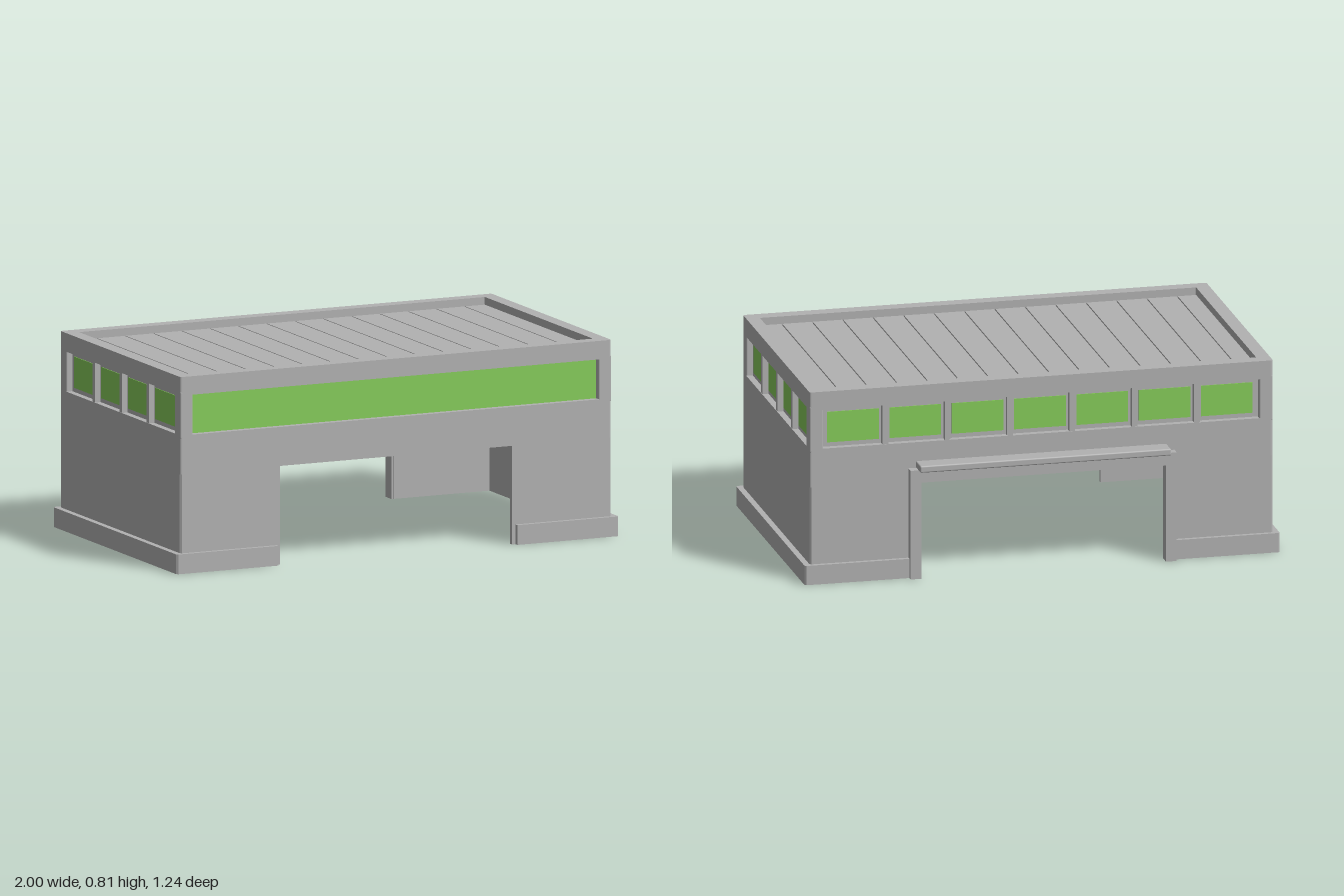
import * as THREE from 'three';
import { RoundedBoxGeometry } from 'three/addons/geometries/RoundedBoxGeometry.js';

const concrete = new THREE.MeshStandardMaterial({ color: 0xb2b2b2 });
concrete.name = 'concrete';
const glass = new THREE.MeshStandardMaterial({ color: 0x86cc5a });
glass.name = 'greenGlass';

const X = 0.975, ZF = 0.602, ZB = -0.543; // outer faces of the walls
const ZC = (ZF + ZB) / 2;
const T = 0.057;                          // thickness of the upper wall
const SILL = 0.572, HEAD = 0.738, TOP = 0.815;

function add(parent, name, geometry, material, x = 0, y = 0, z = 0) {
  const mesh = new THREE.Mesh(geometry, material);
  mesh.name = name;
  mesh.position.set(x, y, z);
  parent.add(mesh);
  return mesh;
}

// Extrudes a floor plan (x, z) from y0 up to y1
function prism(shape, y0, y1) {
  const g = new THREE.ExtrudeGeometry(shape, { depth: y1 - y0, bevelEnabled: false, curveSegments: 4 });
  g.rotateX(Math.PI / 2);
  g.translate(0, y1, 0);
  return g;
}

function roundedPlan(target, x, zf, zb, r) {
  target.moveTo(-x + r, zb);
  target.lineTo(x - r, zb);
  target.quadraticCurveTo(x, zb, x, zb + r);
  target.lineTo(x, zf - r);
  target.quadraticCurveTo(x, zf, x - r, zf);
  target.lineTo(-x + r, zf);
  target.quadraticCurveTo(-x, zf, -x, zf - r);
  target.lineTo(-x, zb + r);
  target.quadraticCurveTo(-x, zb, -x + r, zb);
  return target;
}

// Closed ring of wall
function ringPlan(x, zf, zb, t) {
  const shape = roundedPlan(new THREE.Shape(), x, zf, zb, 0.01);
  shape.holes.push(roundedPlan(new THREE.Path(), x - t, zf - t, zb + t, 0.004));
  return shape;
}

// C-shaped half ring that stops at the front and back openings
function halfPlan(side, x, zf, zb, t, gapF, gapB) {
  const r = 0.007;
  const points = [
    [gapF, zf], [x - r, zf], [x, zf - r], [x, zb + r], [x - r, zb], [gapB, zb],
    [gapB, zb + t], [x - t, zb + t], [x - t, zf - t], [gapF, zf - t],
  ];
  return new THREE.Shape(points.map(([px, pz]) => new THREE.Vector2(px * side, pz)));
}

// Strip of windows; local x runs along the wall, local z points outward
function windowStrip(name, length, count) {
  const strip = new THREE.Group();
  strip.name = name;
  const h = HEAD - SILL, y = (HEAD + SILL) / 2, depth = -0.032;
  if (count === 1) {
    add(strip, 'longPane', new THREE.BoxGeometry(length, h, 0.009), glass, 0, y, depth);
    return strip;
  }
  add(strip, 'windowPanel', new THREE.BoxGeometry(length, h, 0.01), concrete, 0, y, depth);
  const pitch = length / count;
  for (let i = 0; i < count; i++) {
    const x = -length / 2 + pitch * (i + 0.5);
    add(strip, 'pane', new THREE.BoxGeometry(pitch - 0.045, h - 0.036, 0.016), glass, x, y, depth);
    if (i > 0) {
      add(strip, 'mullion', new THREE.BoxGeometry(0.024, h, 0.03), concrete, x - pitch / 2, y, -0.017);
    }
  }
  return strip;
}

export function createModel() {
  const model = new THREE.Group();
  model.name = 'building';

  // Thin lower walls, open at the front and back, with a plinth around the foot
  for (const side of [-1, 1]) {
    add(model, 'lowerWall', prism(halfPlan(side, X, ZF, ZB, 0.018, 0.525, 0.525), 0, 0.41), concrete);
    add(model, 'plinth', prism(halfPlan(side, 1, 0.621, -0.561, 0.03, 0.54, 0.55), 0, 0.082), concrete);
  }
  add(model, 'wallAboveOpenings', prism(ringPlan(X, ZF, ZB, 0.018), 0.41, 0.55), concrete);

  // Thick sill, corner posts and parapet around the windows
  add(model, 'sill', prism(ringPlan(X, ZF, ZB, T), 0.55, SILL), concrete);
  add(model, 'parapet', prism(ringPlan(X, ZF, ZB, T), HEAD, TOP), concrete);
  for (const sx of [-1, 1]) {
    for (const z of [ZF - T / 2, ZB + T / 2]) {
      add(model, 'cornerPost', new RoundedBoxGeometry(T, HEAD - SILL + 0.03, T, 2, 0.006),
        concrete, sx * (X - T / 2), (HEAD + SILL) / 2, z);
    }
  }

  // Window strips on all four walls
  const longSide = 2 * (X - T), shortSide = ZF - ZB - 2 * T;
  const strips = [
    ['frontWindow', longSide, 1, 0, ZF, 0],
    ['backWindows', longSide, 7, 0, ZB, Math.PI],
    ['leftWindows', shortSide, 4, X, ZC, Math.PI / 2],
    ['rightWindows', shortSide, 4, -X, ZC, -Math.PI / 2],
  ];
  for (const [name, length, count, x, z, turn] of strips) {
    const strip = windowStrip(name, length, count);
    strip.position.set(x, 0, z);
    strip.rotation.y = turn;
    model.add(strip);
  }

  // Planked roof, set down inside the parapet
  const roof = new THREE.Group();
  roof.name = 'roof';
  const planks = 15, pitch = 0.128, gap = 0.005, inner = X - T;
  add(roof, 'roofCore', new THREE.BoxGeometry(2 * inner, 0.008, shortSide), concrete, 0, 0.772, ZC);
  for (let i = 0; i < planks; i++) {
    const x0 = i === 0 ? -inner : -0.838 + pitch * (i - 1) + gap / 2;
    const x1 = i === planks - 1 ? inner : -0.838 + pitch * i - gap / 2;
    add(roof, 'plank', new THREE.BoxGeometry(x1 - x0, 0.022, shortSide), concrete, (x0 + x1) / 2, 0.772, ZC);
  }
  model.add(roof);

  // Door surround and projecting canopy at the back
  const outline = [[0.56, 0], [0.56, 0.463], [-0.56, 0.463], [-0.56, 0],
    [-0.515, 0], [-0.515, 0.41], [0.515, 0.41], [0.515, 0]];
  const surround = new THREE.ExtrudeGeometry(
    new THREE.Shape(outline.map(([x, y]) => new THREE.Vector2(x, y))),
    { depth: 0.055, bevelEnabled: false });
  add(model, 'doorSurround', surround, concrete, 0, 0, -0.583);
  add(model, 'doorCanopy', new RoundedBoxGeometry(1.056, 0.029, 0.085, 2, 0.006), concrete, 0, 0.4765, -0.5785);

  return model;
}
